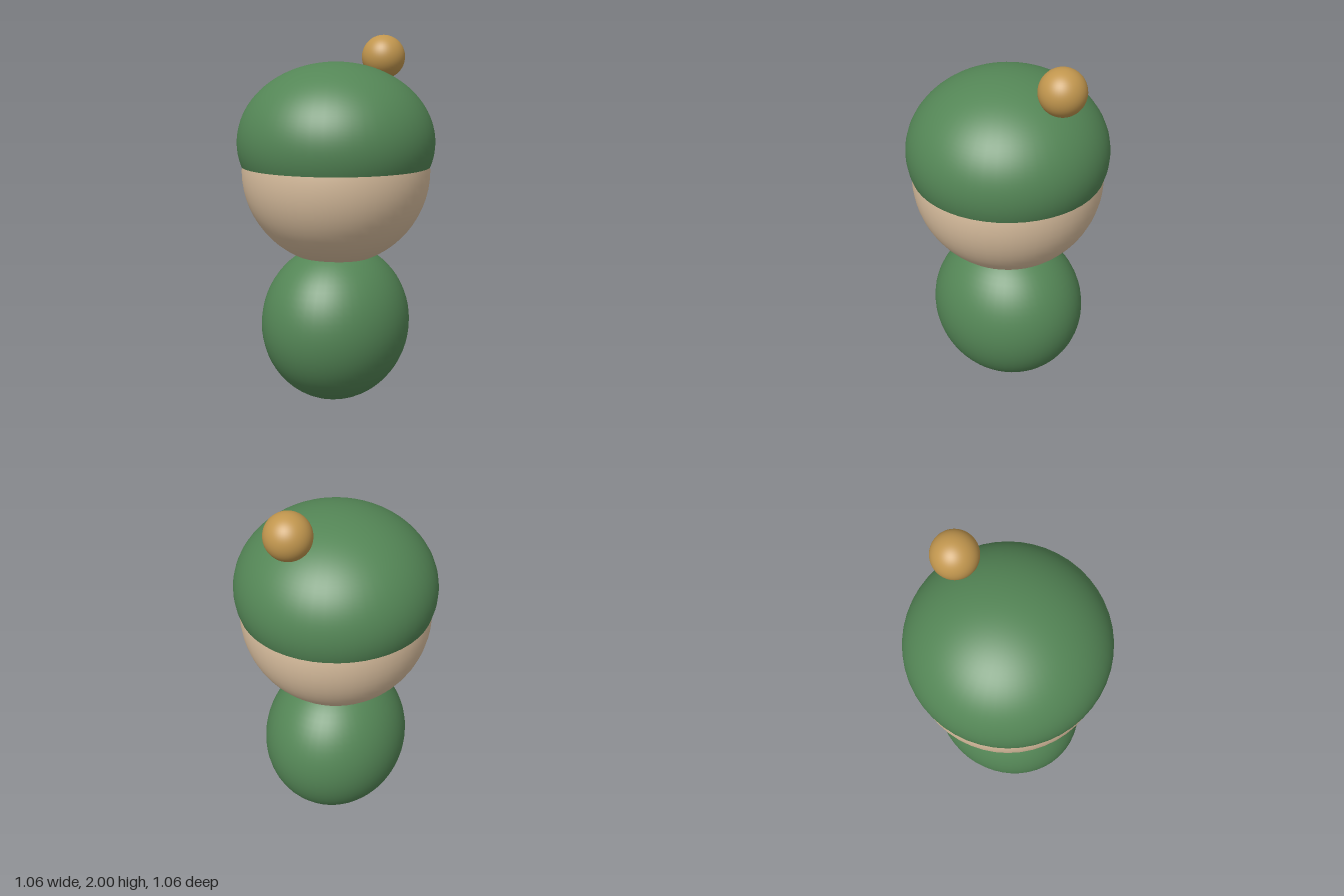
import * as THREE from 'three';

export function createModel() {
  const model = new THREE.Group();
  const material = (name, color) => {
    const m = new THREE.MeshStandardMaterial({ color });
    m.name = name;
    return m;
  };
  const green = material('green', 0x548656);
  const skin = material('skin', 0xdabf9f);
  const gold = material('gold', 0xc1964e);

  // Ellipsoid with given radii; sweep below PI leaves the bottom open
  function ellipsoid(name, mat, radii, position, sweep = Math.PI) {
    const geometry = new THREE.SphereGeometry(1, 48, 32, 0, Math.PI * 2, 0, sweep);
    geometry.scale(...radii);
    const mesh = new THREE.Mesh(geometry, mat);
    mesh.name = name;
    mesh.position.set(...position);
    model.add(mesh);
    return mesh;
  }

  ellipsoid('body', green, [0.435, 0.435, 0.392], [0, 0.438, 0]);
  ellipsoid('head', skin, [0.508, 0.508, 0.508], [0, 1.275, 0]);

  // Cap dome, cut level at its brim (y = 1.30)
  const capY = 1.428, capHeight = 0.428, brimY = 1.302;
  const capSweep = Math.acos((brimY - capY) / capHeight);
  const cap = ellipsoid('cap', green, [0.532, capHeight, 0.532], [0, capY, 0], capSweep);
  cap.material.side = THREE.DoubleSide;

  // Bobble perched on the left of the cap
  ellipsoid('bobble', gold, [0.12, 0.12, 0.12], [0.363, 1.88, 0.06]);

  return model;
}
